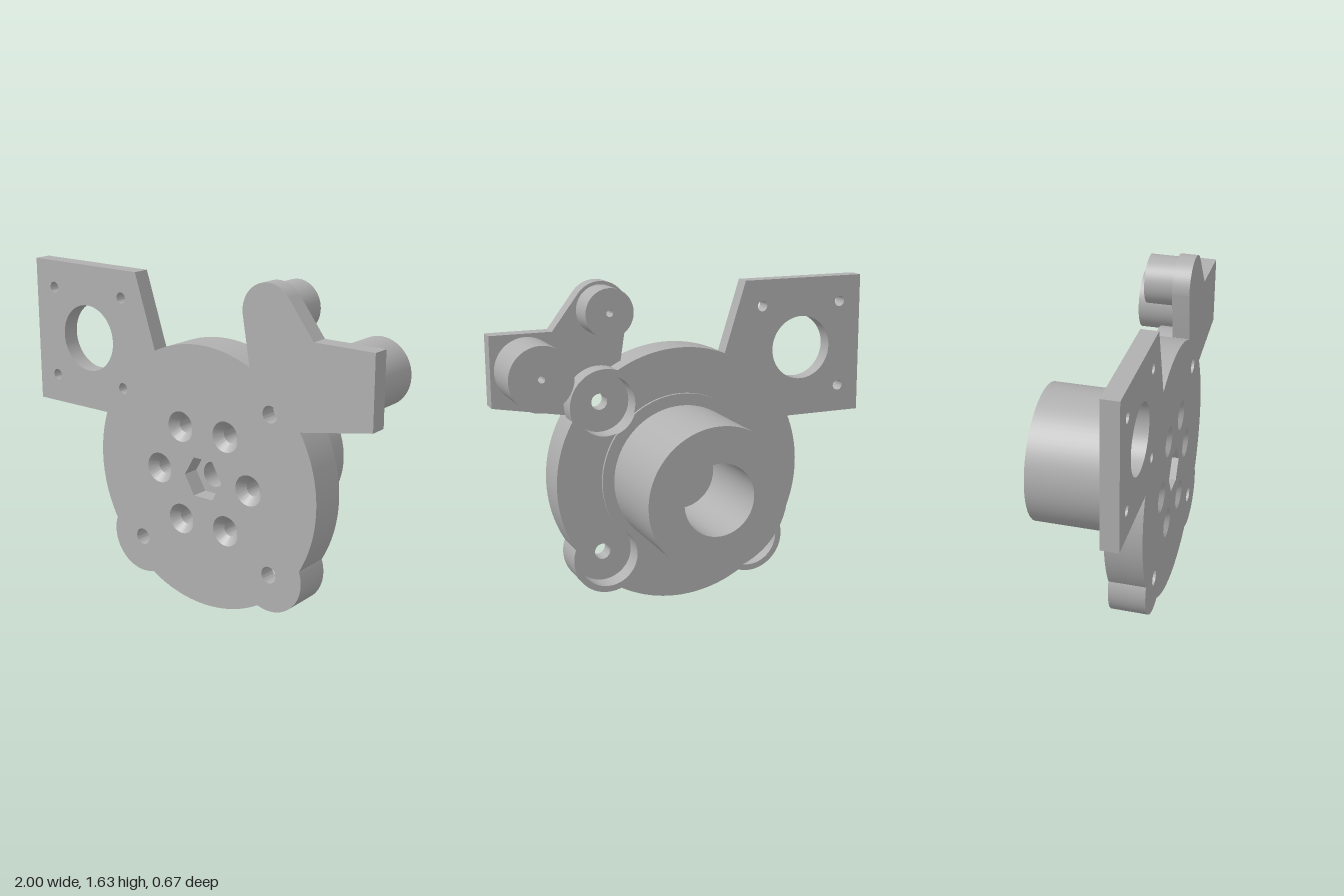
import * as THREE from 'three';
import { toCreasedNormals } from 'three/addons/utils/BufferGeometryUtils.js';

const CX = 0.07, CY = 0.655, R = 0.65;           // disc centre and radius
const FRONT = 0.335, MID = 0.25, BACK = 0.15;    // z levels of the plate layers
const LOBE_R = 0.183, POCKET_R = 0.152, LOBE_D = 0.39 * Math.SQRT2;
const rad = THREE.MathUtils.degToRad;

export function createModel() {
  const group = new THREE.Group();
  group.name = 'motorBracket';
  const grey = new THREE.MeshStandardMaterial({ color: 0xb0b0b0 });
  grey.name = 'plain grey';

  const add = (name, geometry) => {
    const mesh = new THREE.Mesh(toCreasedNormals(geometry, 0.45), grey);
    mesh.name = name;
    group.add(mesh);
    return mesh;
  };
  const extrude = (name, shape, z0, z1) =>
    add(name, new THREE.ExtrudeGeometry(shape, { depth: z1 - z0, bevelEnabled: false, curveSegments: 40 }).translate(0, 0, z0));
  // Profile points are [radius, z], turned about the z axis through (x, y)
  const turn = (name, x, y, profile, segments = 48) =>
    add(name, new THREE.LatheGeometry(profile.map(p => new THREE.Vector2(...p)), segments)
      .rotateX(Math.PI / 2).translate(x, y, 0));
  const hole = (shape, x, y, r) => shape.holes.push(new THREE.Path().absarc(x, y, r, 0, Math.PI * 2, true));

  // Arc helpers for the disc outline and the lobes on its diagonals
  const half = Math.acos((LOBE_D ** 2 + R ** 2 - LOBE_R ** 2) / (2 * LOBE_D * R));
  const lobeHalf = Math.atan2(R * Math.sin(half), R * Math.cos(half) - LOBE_D);
  const rim = (s, a, b) => s.absarc(CX, CY, R, a, b, false);
  const lobe = (s, a) => s.absarc(CX + LOBE_D * Math.cos(a), CY + LOBE_D * Math.sin(a), LOBE_R, a - lobeHalf, a + lobeHalf, false);
  const lobeAngles = [45, 225, 315].map(rad);
  const mounts = lobeAngles.map(a => [CX + LOBE_D * Math.cos(a), CY + LOBE_D * Math.sin(a)]);
  const screws = [0, 1, 2, 3, 4, 5].map(i => [CX + 0.27 * Math.cos(i * Math.PI / 3), CY + 0.27 * Math.sin(i * Math.PI / 3)]);

  // Front plate: disc face, two lobes, square motor arm and post arm
  const face = new THREE.Shape();
  face.moveTo(1, 1.06);
  face.lineTo(1, 1.41);
  face.lineTo(0.69, 1.41);
  face.absarc(0.445, 1.5, 0.14, rad(37), rad(188), false);
  face.lineTo(0.345, 1.245);
  rim(face, Math.atan2(0.59, 0.275), Math.atan2(0.585, -0.29));
  face.lineTo(-0.335, 1.6);
  face.lineTo(-1, 1.6);
  face.lineTo(-1, 0.875);
  rim(face, Math.atan2(0.22, -0.612), lobeAngles[1] - half);
  lobe(face, lobeAngles[1]);
  rim(face, lobeAngles[1] + half, lobeAngles[2] - half);
  lobe(face, lobeAngles[2]);
  rim(face, lobeAngles[2] + half, Math.PI * 2 + Math.atan2(0.34, 0.56));
  face.closePath();

  hole(face, -0.655, 1.235, 0.165);
  for (const x of [-0.88, -0.43]) for (const y of [1.015, 1.465]) hole(face, x, y, 0.027);
  for (const [x, y] of mounts) hole(face, x, y, 0.041);
  for (const [x, y] of screws) hole(face, x, y, 0.075);
  const hex = new THREE.Path();
  hex.setFromPoints([0, 1, 2, 3, 4, 5].map(i =>
    new THREE.Vector2(CX + 0.111 * Math.cos(i * Math.PI / 3), CY - 0.111 * Math.sin(i * Math.PI / 3))));
  hex.closePath();
  face.holes.push(hex);
  extrude('frontPlate', face, MID, FRONT);

  // Back disc with three pocketed lobes
  const disc = new THREE.Shape();
  rim(disc, -lobeAngles[0] + half, lobeAngles[0] - half);
  lobe(disc, lobeAngles[0]);
  rim(disc, lobeAngles[0] + half, lobeAngles[1] - half);
  lobe(disc, lobeAngles[1]);
  rim(disc, lobeAngles[1] + half, lobeAngles[2] - half);
  lobe(disc, lobeAngles[2]);
  disc.closePath();
  for (const [x, y] of mounts) hole(disc, x, y, POCKET_R);
  for (const [x, y] of screws) hole(disc, x, y, 0.038);
  hole(disc, CX, CY, 0.063);
  extrude('backDisc', disc, BACK, MID);

  // Thin step around the barrel, nicked where the pockets cut in
  const stepPoints = [];
  for (let i = 0; i < 180; i++) {
    const a = i * Math.PI / 90;
    let r = 0.42;
    for (const m of lobeAngles) {
      const s = LOBE_D * Math.sin(a - m), c = LOBE_D * Math.cos(a - m);
      if (c > 0 && Math.abs(s) < POCKET_R) r = Math.min(r, c - Math.sqrt(POCKET_R ** 2 - s * s));
    }
    stepPoints.push(new THREE.Vector2(CX + r * Math.cos(a), CY + r * Math.sin(a)));
  }
  const step = new THREE.Shape(stepPoints);
  hole(step, CX, CY, 0.355);
  extrude('barrelStep', step, 0.136, BACK);

  // Rear barrel with its bore
  turn('barrel', CX, CY, [[0.18, BACK], [0.18, -0.333], [0.36, -0.333], [0.36, BACK]], 72);

  // Countersunk blind screw holes
  screws.forEach(([x, y], i) =>
    turn('screwHole' + (i + 1), x, y, [[0.075, FRONT], [0.038, 0.295], [0.038, -0.05], [0, -0.05]], 40));

  // Posts behind the right arm, each with a small pilot hole
  const post = (name, x, y, r, z) =>
    turn(name, x, y, [[0, z + 0.1], [0.017, z + 0.1], [0.017, z], [r, z], [r, MID]]);
  post('largePost', 0.822, 1.235, 0.159, -0.003);
  post('smallPost', 0.447, 1.503, 0.121, 0.105);

  return group;
}
